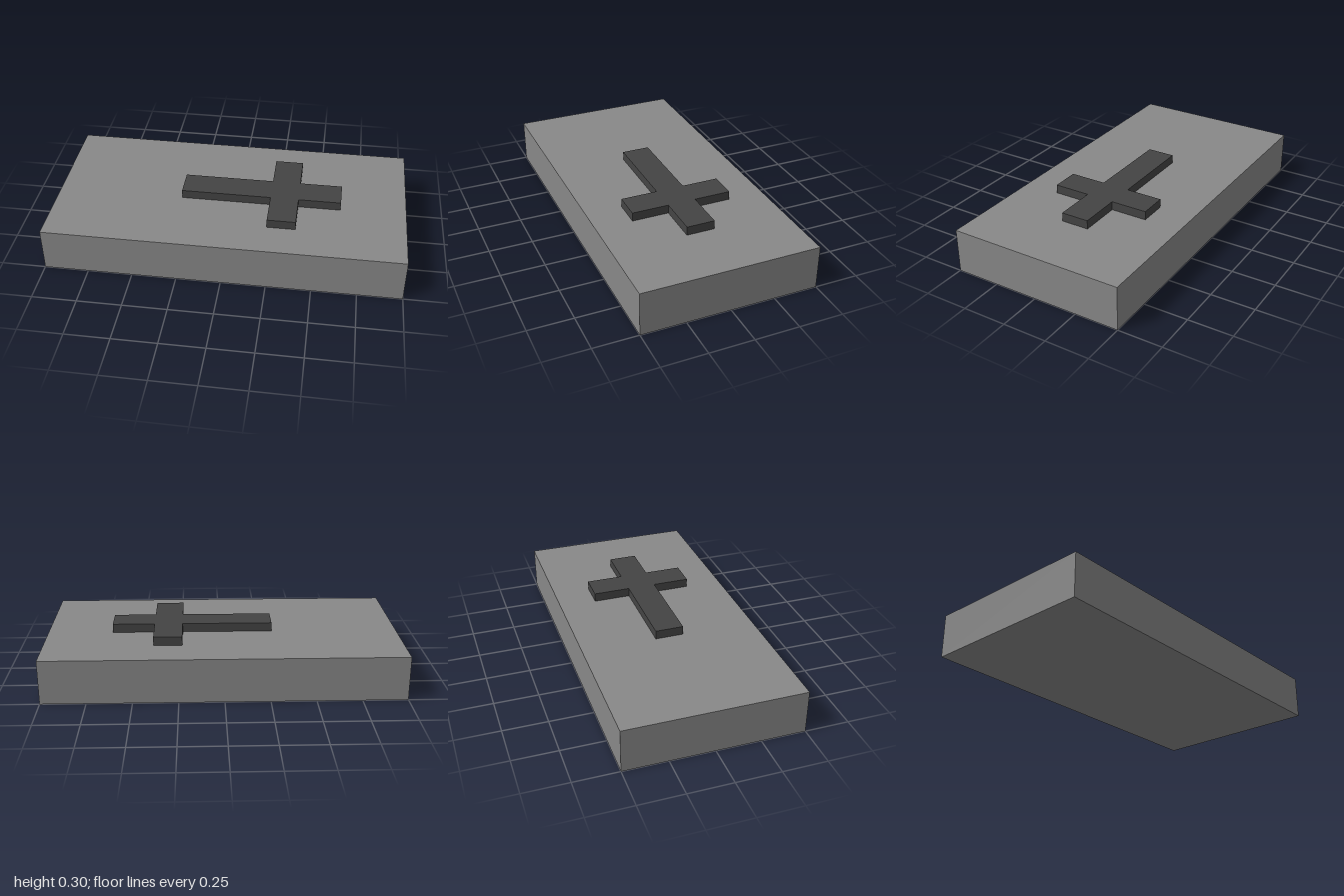
import * as THREE from 'three';

export function createModel() {
  const model = new THREE.Group();
  model.name = 'slabWithCross';

  // Stone slab standing on the ground
  const slab = new THREE.Mesh(
    new THREE.BoxGeometry(2, 0.25, 1),
    new THREE.MeshStandardMaterial({ color: 0x888888 })
  );
  slab.name = 'slab';
  slab.position.y = 0.125;
  model.add(slab);

  // Raised cross lying on the slab, its long arm pointing to -x
  const half = 0.08, reach = 0.29;
  const foot = -0.28, barStart = 0.23, barEnd = 0.39, head = 0.63;
  const side = [[foot, half], [barStart, half], [barStart, reach],
    [barEnd, reach], [barEnd, half], [head, half]];
  const mirrored = side.map(([x, z]) => [x, -z]).reverse();
  const outline = new THREE.Shape(
    [...side, ...mirrored].map(([x, z]) => new THREE.Vector2(x, z))
  );
  const crossGeometry = new THREE.ExtrudeGeometry(outline, { depth: 0.05, bevelEnabled: false });
  crossGeometry.rotateX(-Math.PI / 2);

  const cross = new THREE.Mesh(
    crossGeometry,
    new THREE.MeshStandardMaterial({ color: 0x444444 })
  );
  cross.name = 'cross';
  cross.position.y = 0.25;
  model.add(cross);

  return model;
}
